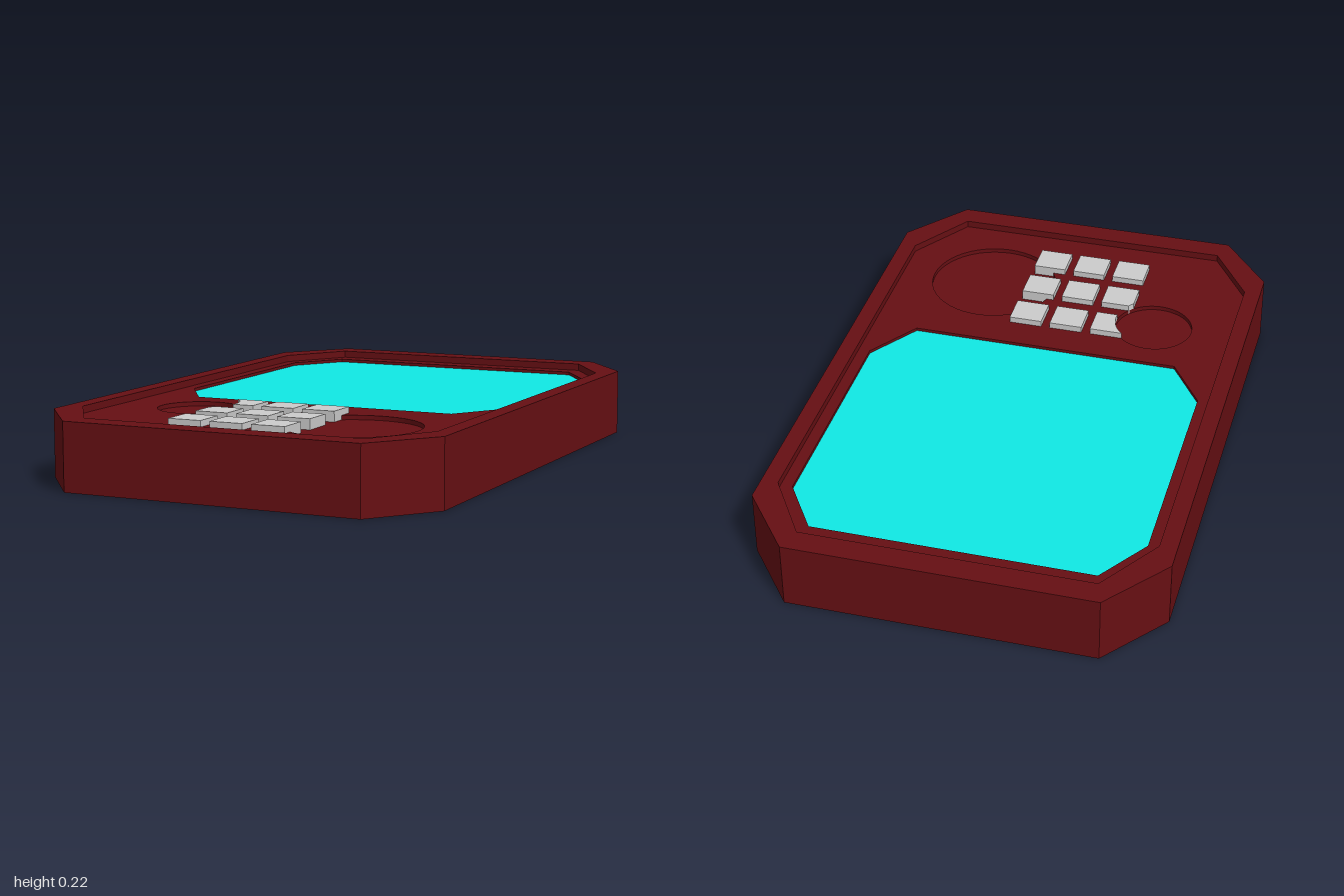
import * as THREE from 'three';

const red = new THREE.MeshStandardMaterial({ color: 0x660f13 });
const cyan = new THREE.MeshStandardMaterial({ color: 0x10e8e4 });
const grey = new THREE.MeshStandardMaterial({ color: 0xcccccc });

// Heights of the stepped levels
const WELL = 0.178, FLOOR = 0.192, TOP = 0.215;
const smallDial = { x: -0.33, z: 0.45, r: 0.13 };
const bigDial = { x: 0.27, z: 0.59, r: 0.215 };

// Rectangle with cut corners, in plan (x, z)
function octagon(hw, hl, cutX, cutZ, cz = 0) {
  const a = hw - cutX, b = hl - cutZ;
  return [[a, -hl], [hw, -b], [hw, b], [a, hl], [-a, hl], [-hw, b], [-hw, -b], [-a, -hl]]
    .map(([x, z]) => new THREE.Vector2(x, z + cz));
}

function circle({ x, z, r }) {
  return new THREE.Path().absarc(x, z, r, 0, Math.PI * 2, true);
}

// Horizontal slab of a plan shape between two heights
function slab(name, points, holes, bottom, top, material) {
  const shape = new THREE.Shape(points);
  shape.holes.push(...holes);
  const geo = new THREE.ExtrudeGeometry(shape, { depth: top - bottom, bevelEnabled: false, curveSegments: 24 });
  geo.rotateX(Math.PI / 2).translate(0, top, 0);
  const mesh = new THREE.Mesh(geo, material);
  mesh.name = name;
  return mesh;
}

// Key outline, its left side trimmed where it meets the small dial recess
function keyOutline(x0, z0, w, d) {
  const pts = [new THREE.Vector2(x0 + w, z0 + d), new THREE.Vector2(x0 + w, z0)];
  const steps = 12;
  for (let i = 0; i <= steps; i++) {
    const z = z0 + (d * i) / steps;
    const h = smallDial.r ** 2 - (z - smallDial.z) ** 2;
    const edge = h > 0 ? smallDial.x + Math.sqrt(h) : x0;
    pts.push(new THREE.Vector2(Math.max(x0, edge), z));
  }
  return pts;
}

export function createModel() {
  const model = new THREE.Group();
  model.name = 'handheldDevice';

  const outer = octagon(0.65, 1, 0.165, 0.21);
  const inner = octagon(0.595, 0.92, 0.135, 0.21);
  const screen = octagon(0.557, 0.55, 0.112, 0.17, -0.31);

  // Case: solid base, face plate with recesses, raised rim
  model.add(slab('caseBase', outer, [], 0, WELL, red));
  model.add(slab('facePlate', outer,
    [new THREE.Path(screen), circle(smallDial), circle(bigDial)], WELL, FLOOR, red));
  model.add(slab('rim', outer, [new THREE.Path(inner)], FLOOR, TOP, red));

  // Screen sunk slightly below the face
  model.add(slab('screen', screen, [], WELL - 0.01, WELL + 0.004, cyan));

  // Three by three keypad
  const keypad = new THREE.Group();
  keypad.name = 'keypad';
  for (const z of [0.357, 0.527, 0.695]) {
    for (const x of [-0.24, -0.1, 0.04]) {
      keypad.add(slab('key', keyOutline(x, z, 0.11, 0.107), [], WELL - 0.01, 0.212, grey));
    }
  }
  model.add(keypad);
  return model;
}
